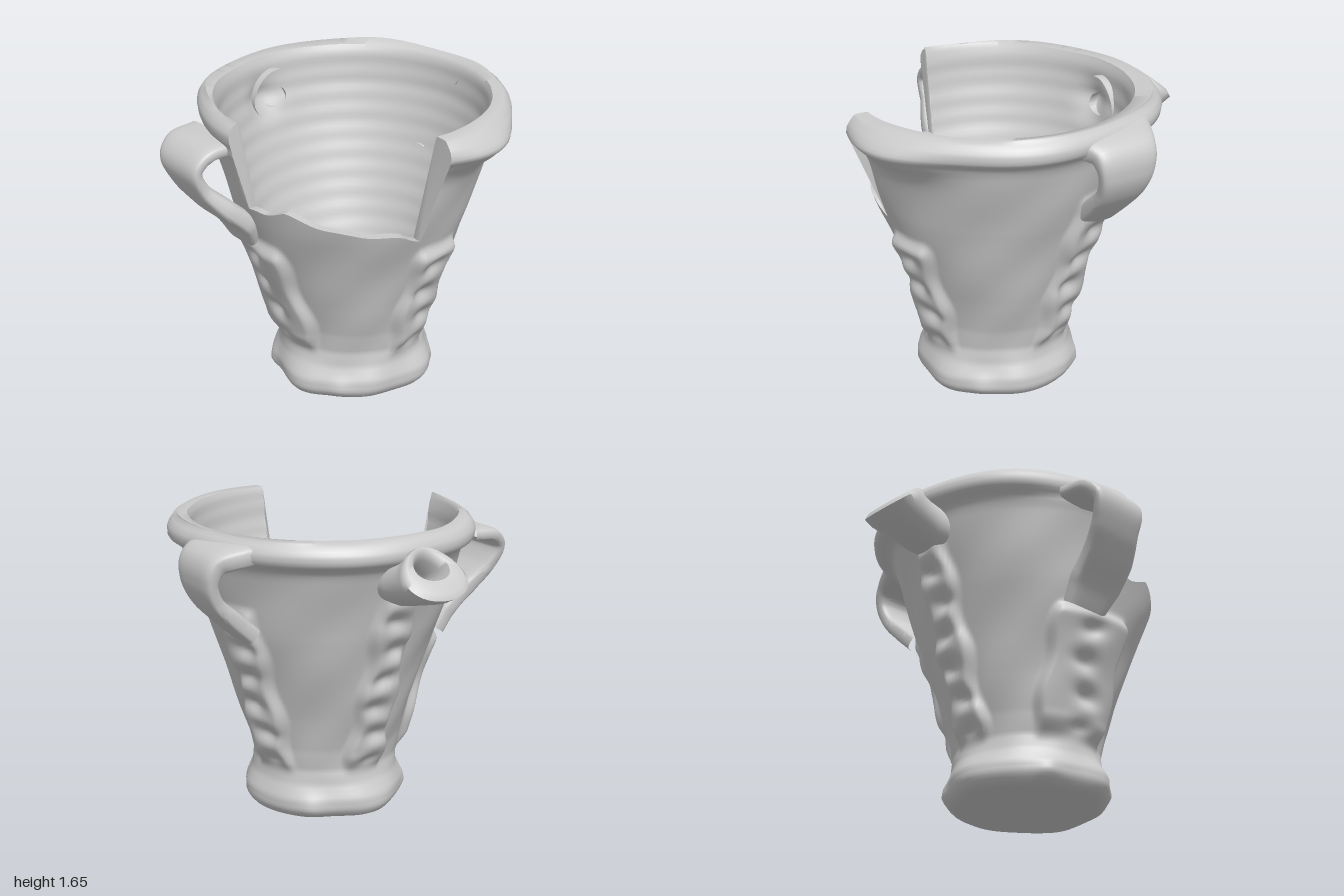
import * as THREE from 'three';
import { toCreasedNormals } from 'three/addons/utils/BufferGeometryUtils.js';

const CX = 0.11, CZ = -0.02, TAU = Math.PI * 2;

// Linear interpolation in a table of [key, value] pairs
function lookup(table, k) {
  if (k <= table[0][0]) return table[0][1];
  for (let i = 1; i < table.length; i++) {
    const [a, va] = table[i - 1], [b, vb] = table[i];
    if (k <= b) return va + (vb - va) * (k - a) / (b - a);
  }
  return table[table.length - 1][1];
}
const gauss = (d, w) => Math.exp(-(d * d) / (w * w));
const smooth = THREE.MathUtils.smoothstep;
const wrap = a => Math.atan2(Math.sin(a), Math.cos(a));

// Skin of rows x cols points; each row is a closed loop
function skin(rows, cols, point, crease) {
  const pos = [], idx = [];
  for (let r = 0; r < rows; r++)
    for (let c = 0; c < cols; c++) pos.push(...point(r, (c / cols) * TAU));
  for (let r = 0; r < rows - 1; r++)
    for (let c = 0; c < cols; c++) {
      const d = (c + 1) % cols;
      const a = r * cols + c, b = r * cols + d, e = a + cols, f = b + cols;
      idx.push(a, b, f, a, f, e);
    }
  const g = new THREE.BufferGeometry();
  g.setAttribute('position', new THREE.Float32BufferAttribute(pos, 3));
  g.setIndex(idx);
  return toCreasedNormals(g, crease);
}

// Wall profiles: height -> radius
const OUTER = [[0, 0.38], [0.02, 0.42], [0.06, 0.445], [0.12, 0.445], [0.2, 0.41], [0.28, 0.397], [0.4, 0.42],
  [0.6, 0.48], [0.8, 0.545], [1.07, 0.635], [1.2, 0.675], [1.43, 0.745], [1.49, 0.77],
  [1.53, 0.81], [1.58, 0.815], [1.62, 0.79], [1.64, 0.76]];
const INNER = [[0.28, 0.285], [0.33, 0.32], [0.6, 0.42], [1, 0.56], [1.2, 0.628], [1.43, 0.69],
  [1.5, 0.7], [1.6, 0.712], [1.64, 0.73]];

// Thumbed clay strips: angle, half width, bottom, top
const STRIPS = [[-0.12, 0.25, 0.24, 0.97], [1.73, 0.15, 0.22, 0.97],
  [-1.57, 0.13, 0.24, 1.45], [-2.86, 0.14, 0.24, 1.25]];

// Broken edge: angle (0 = front, growing towards +x) -> height
const BREAK = [[0.02, 1.16], [0.2, 1.17], [0.4, 1.22], [0.65, 1.17], [0.85, 1.13], [1.1, 1.1], [1.3, 1.08], [1.48, 1.02]];

function topAt(th) {
  const a = wrap(th);
  if (a > 0.01 && a < 1.48) return lookup(BREAK, a) + 0.005 * Math.sin(a * 17);
  return 1.64 + 0.008 * Math.sin(2 * a + 1) + 0.005 * Math.sin(7 * a);
}

function outerRadius(y, th) {
  const a = wrap(th);
  let r = lookup(OUTER, y);
  // lumpy foot with pinched corners
  r += (0.012 * Math.sin(4 * a + 0.6) + 0.008 * Math.sin(7 * a)) * (1 - smooth(y, 0.1, 0.27));
  for (const c of [0.75, 2.4, -2.3, -0.5]) r += 0.018 * gauss(wrap(a - c), 0.15) * gauss(y - 0.07, 0.06);
  // wall slightly fuller between the front and +x side
  r += 0.035 * gauss(wrap(a - 0.55), 0.8) * gauss(y - 1.15, 0.3);
  // uneven rim, fuller on the spout side and back, and the scar of a lost handle
  r += smooth(y, 1.46, 1.54) * (0.045 * Math.max(0, -Math.sin(a)) - 0.035 * Math.max(0, Math.cos(a)) + 0.02 * Math.max(0, -Math.cos(a)) + 0.008 * Math.sin(5 * a));
  r += 0.09 * gauss(wrap(a - 1.83), 0.34) * gauss(y - 1.5, 0.09);
  r += 0.004 * Math.sin(3 * a + 9 * y) + 0.003 * Math.sin(8 * a - 14 * y);
  for (const [ang, half, y0, y1] of STRIPS) {
    const d = wrap(a - ang) * r;
    const w = half + 0.015 * Math.sin(y * 17 + ang * 3);
    const m = (1 - smooth(Math.abs(d), w - 0.06, w)) * smooth(y, y0, y0 + 0.13) * (1 - smooth(y, y1 - 0.09, y1));
    const row = ((y - y0) / 0.17) % 1 - 0.5;
    r += m * (0.055 - 0.04 * gauss(row, 0.28) * gauss(d + 0.03 * Math.sin(y * 11), 0.07));
  }
  return r;
}

function innerRadius(y, th) {
  const spoutHole = 0.05 * gauss(wrap(th + 1.45), 0.14) * gauss(y - 1.4, 0.09);
  const fuller = 0.035 * gauss(wrap(th - 0.55), 0.8) * gauss(y - 1.15, 0.3);
  return lookup(INNER, y) + 0.002 * Math.sin(y * 60 + th) + spoutHole + fuller;
}

// Vessel: foot, outer wall, rim or broken edge, inner wall and floor in one skin
function vessel() {
  const NO = 100, NI = 60;
  return skin(NO + NI + 4, 260, (row, th) => {
    const top = topAt(th);
    let r, y, shift = 0;
    if (row === 0) { r = 0; y = 0.015; }
    else if (row <= NO + 1) {
      y = Math.min(((row - 1) / NO) * 1.655, top);
      r = outerRadius(y, th);
    } else if (row <= NO + NI + 2) {
      const t = (row - NO - 2) / NI;
      y = Math.min(1.635 - t * 1.355, top);
      r = innerRadius(y, th);
      shift = 0.04 * (1 - smooth(y, 0.25, 0.9));
    } else { r = 0; y = 0.31; shift = 0.04; }
    return [CX + shift + r * Math.sin(th), y, CZ - shift + r * Math.cos(th)];
  }, 0.95);
}

// Strap handle: stations of [x, y, z, half width, half thickness], bottom to top
function strap(stations) {
  const curve = new THREE.CatmullRomCurve3(stations.map(s => new THREE.Vector3(s[0], s[1], s[2])));
  const n = 36, last = stations.length - 1, flat = v => Math.sign(v) * Math.sqrt(Math.abs(v));
  return skin(n + 1, 32, (i, ph) => {
    const t = i / n, p = curve.getPoint(t), q = curve.getTangent(t);
    const k = Math.min(Math.floor(t * last), last - 1);
    const mix = j => THREE.MathUtils.lerp(stations[k][j], stations[k + 1][j], t * last - k);
    const l = Math.hypot(q.y, q.z);
    const side = flat(Math.sin(ph)) * mix(3);
    const out = flat(Math.cos(ph)) * mix(4);
    return [p.x + side, p.y - out * q.z / l, p.z + out * q.y / l];
  }, 0.9);
}

// Spout: rings of [x, y, tilt, half height, half width], out over the lip and back inside
function spout() {
  const rings = [[-0.55, 1.42, 0, 0.14, 0.15], [-0.66, 1.42, 0.15, 0.14, 0.15], [-0.75, 1.435, 0.5, 0.135, 0.16],
    [-0.83, 1.455, 0.8, 0.15, 0.175], [-0.865, 1.485, 0.87, 0.165, 0.18], [-0.87, 1.505, 0.87, 0.145, 0.155],
    [-0.84, 1.525, 0.87, 0.095, 0.1], [-0.81, 1.48, 0.8, 0.07, 0.08], [-0.7, 1.42, 0.3, 0.06, 0.07],
    [-0.56, 1.4, 0, 0.06, 0.07]];
  return skin(rings.length, 36, (i, ph) => {
    const [x, y, tilt, a, b] = rings[i];
    const u = a * Math.cos(ph), w = b * Math.sin(ph) * (1 - 0.18 * Math.cos(ph));
    return [x + u * Math.sin(tilt), y + u * Math.cos(tilt), -0.01 - w];
  }, 1.1);
}

export function createModel() {
  const group = new THREE.Group();
  const clay = new THREE.MeshStandardMaterial({ color: 0xcccccc });
  const add = (name, geometry) => {
    const mesh = new THREE.Mesh(geometry, clay);
    mesh.name = name;
    group.add(mesh);
    return mesh;
  };

  add('vessel', vessel());
  add('spout', spout());
  add('frontHandle', strap([[-0.04, 0.93, 0.57, 0.13, 0.05], [-0.03, 1.05, 0.645, 0.16, 0.055],
    [-0.05, 1.16, 0.76, 0.16, 0.055], [-0.1, 1.28, 0.865, 0.155, 0.04], [-0.12, 1.39, 0.905, 0.17, 0.035],
    [-0.13, 1.46, 0.84, 0.19, 0.04], [-0.13, 1.48, 0.69, 0.2, 0.04]]));
  const back = add('backHandle', strap([[0.1, 1.1, 0.64, 0.12, 0.05], [0.1, 1.2, 0.75, 0.13, 0.05],
    [0.1, 1.31, 0.86, 0.14, 0.042], [0.1, 1.42, 0.9, 0.16, 0.042], [0.1, 1.51, 0.87, 0.18, 0.06],
    [0.1, 1.56, 0.72, 0.26, 0.065]]));
  back.rotation.y = Math.PI;
  return group;
}
